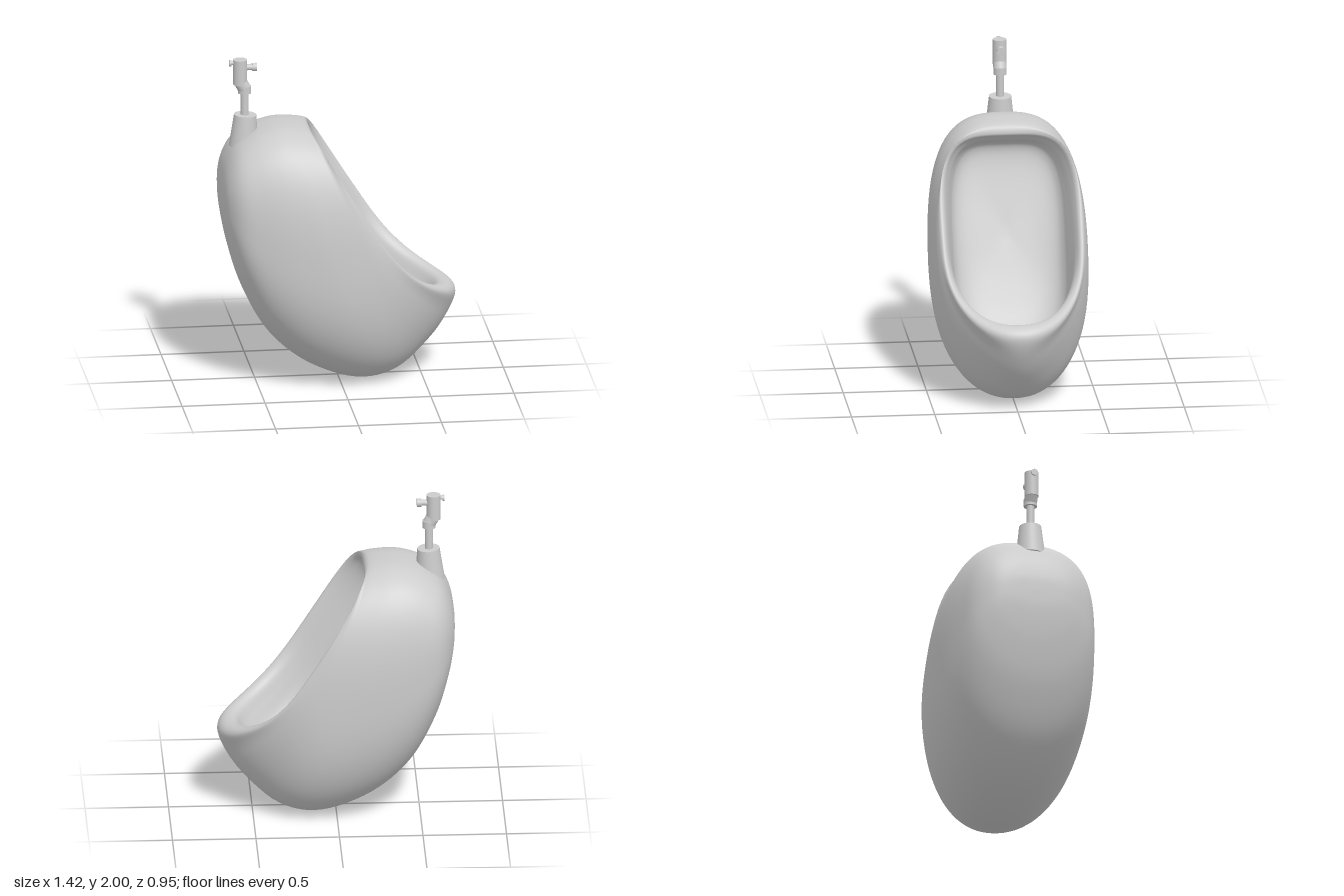
import * as THREE from 'three';
import { mergeVertices } from 'three/addons/utils/BufferGeometryUtils.js';

const material = new THREE.MeshStandardMaterial({ color: 0xcccccc, roughness: 0.6 });
const { lerp, smoothstep } = THREE.MathUtils;

// Rings from the back of the shell, over the rim, to the back wall of the bowl:
// [top x, top y, bottom x, bottom y, half width, inward sweep of the sides]
const RINGS = [
  [-0.71, 1.18, -0.71, 1.18, 0, 0],
  [-0.706, 1.28, -0.70, 1.04, 0.19, 0],
  [-0.68, 1.39, -0.66, 0.83, 0.295, 0],
  [-0.62, 1.49, -0.58, 0.58, 0.375, 0],
  [-0.52, 1.56, -0.43, 0.31, 0.425, 0],
  [-0.42, 1.595, -0.20, 0.11, 0.46, 0],
  [-0.34, 1.605, 0.10, 0.00, 0.475, 0],
  [-0.26, 1.60, 0.35, 0.045, 0.47, 0.04],
  [-0.205, 1.59, 0.55, 0.215, 0.457, 0.1],
  [-0.18, 1.575, 0.66, 0.37, 0.443, 0.17],
  [-0.168, 1.55, 0.708, 0.50, 0.425, 0.215],
  [-0.17, 1.525, 0.675, 0.565, 0.40, 0.22],
  [-0.20, 1.505, 0.60, 0.57, 0.38, 0.21],
  [-0.235, 1.475, 0.54, 0.49, 0.365, 0.18],
  [-0.28, 1.45, 0.45, 0.39, 0.35, 0.12],
  [-0.31, 1.41, 0.29, 0.34, 0.33, 0.05],
  [-0.31, 1.34, 0.12, 0.41, 0.285, 0],
  [-0.27, 1.20, -0.02, 0.62, 0.18, 0],
  [-0.17, 0.92, -0.17, 0.92, 0, 0],
];

function spline(pick) {
  const points = RINGS.map((r) => new THREE.Vector3(...pick.map((k) => r[k])));
  return new THREE.CatmullRomCurve3(points, false, 'catmullrom', 0.5);
}

function shellGeometry(rows = 108, cols = 96) {
  const upper = spline([0, 1, 4]);
  const lower = spline([2, 3, 5]);
  const positions = [];
  const index = [];
  for (let i = 0; i <= rows; i++) {
    const t = i / rows;
    const top = upper.getPoint(t);
    const bottom = lower.getPoint(t);
    const sweep = bottom.z;
    // superellipse sections: squarer inside the opening, narrower under the lip
    const underLip = smoothstep(t, 0.36, 0.47) * (1 - smoothstep(t, 0.5, 0.57));
    const topPower = lerp(2.8, 4, smoothstep(t, 0.45, 0.62));
    const bottomPower = lerp(2.25, 2.8, smoothstep(t, 0.52, 0.62)) - 0.4 * underLip;
    for (let j = 0; j < cols; j++) {
      const a = (j / cols) * Math.PI * 2;
      const c = Math.cos(a), s = Math.sin(a);
      const power = lerp(topPower, bottomPower, (1 + c) / 2);
      const r = Math.pow(Math.abs(c) ** power + Math.abs(s) ** power, -1 / power);
      const v = (1 - c * r) / 2;
      const side = s * r;
      positions.push(
        lerp(bottom.x, top.x, v) - sweep * side * side * (1 - v),
        lerp(bottom.y, top.y, v),
        top.z * side
      );
      // the first and last rows shrink to poles, so each needs one triangle only
      const p = i * cols + j, q = i * cols + (j + 1) % cols;
      if (i < rows - 1) index.push(p + cols, q + cols, q);
      if (i > 0 && i < rows) index.push(p, p + cols, q);
    }
  }
  const geometry = new THREE.BufferGeometry();
  geometry.setAttribute('position', new THREE.Float32BufferAttribute(positions, 3));
  geometry.setIndex(index);
  const merged = mergeVertices(geometry, 1e-5);
  merged.computeVertexNormals();
  return merged;
}

export function createModel() {
  const model = new THREE.Group();
  model.name = 'urinal';

  function add(name, geometry, parent = model) {
    const mesh = new THREE.Mesh(geometry, material);
    mesh.name = name;
    parent.add(mesh);
    return mesh;
  }

  // Cylinder or cone running between two points in the z = 0 plane
  function rod(name, from, to, r0, r1, parent) {
    const a = new THREE.Vector3(...from, 0), b = new THREE.Vector3(...to, 0);
    const axis = b.clone().sub(a);
    const mesh = add(name, new THREE.CylinderGeometry(r1, r0, axis.length(), 32), parent);
    mesh.position.copy(a).add(b).multiplyScalar(0.5);
    mesh.quaternion.setFromUnitVectors(new THREE.Vector3(0, 1, 0), axis.normalize());
  }

  // Ceramic shell and bowl in one closed skin
  add('basin', shellGeometry());

  // Inlet collar and water pipe
  rod('inletCollar', [-0.566, 1.46], [-0.556, 1.655], 0.088, 0.067);
  rod('waterPipe', [-0.56, 1.6], [-0.56, 1.82], 0.024, 0.024);

  // Flush valve
  const valve = new THREE.Group();
  valve.name = 'flushValve';
  model.add(valve);
  rod('valveNut', [-0.56, 1.79], [-0.56, 1.835], 0.04, 0.04, valve);
  rod('valveElbow', [-0.56, 1.815], [-0.587, 1.865], 0.04, 0.04, valve);
  rod('valveBody', [-0.587, 1.845], [-0.587, 2], 0.042, 0.042, valve);
  rod('pushButtonStem', [-0.56, 1.95], [-0.51, 1.95], 0.018, 0.018, valve);
  rod('pushButton', [-0.515, 1.95], [-0.487, 1.95], 0.025, 0.025, valve);
  rod('supplyStub', [-0.62, 1.98], [-0.645, 1.98], 0.012, 0.012, valve);
  rod('supplyCap', [-0.64, 1.98], [-0.652, 1.98], 0.02, 0.02, valve);

  return model;
}
